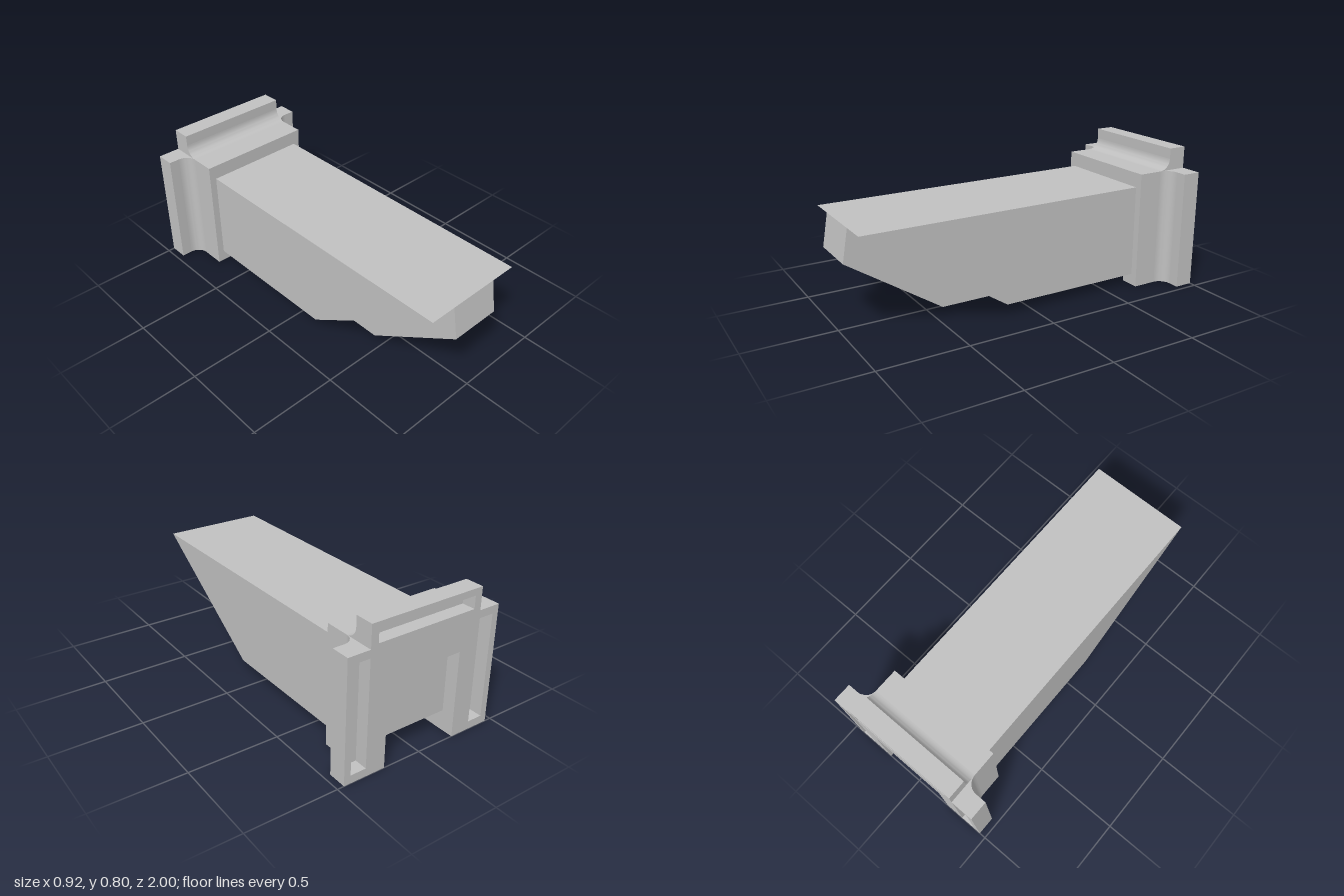
import * as THREE from 'three';
import { toCreasedNormals } from 'three/addons/utils/BufferGeometryUtils.js';

const BACK = -1, SLOT = -0.925, TAB = -0.895, FRONT = -0.69; // z stations of the flange
const W = 0.335, WING = 0.462, H = 0.675, TOP = 0.8;          // flange sizes
const NOTCH = 0.222, CEIL = 0.115;                            // opening and underside channel
const R = 0.065;                                              // tab fillet radius

const shapeOf = (pts) => new THREE.Shape(pts.map(([x, y]) => new THREE.Vector2(x, y)));

// Points on an arc between two angles in degrees
function arc(cx, cy, r, from, to, n = 12) {
  return Array.from({ length: n + 1 }, (_, i) => {
    const a = THREE.MathUtils.degToRad(from + ((to - from) * i) / n);
    return [cx + r * Math.cos(a), cy + r * Math.sin(a)];
  });
}

function extrude(shape, depth) {
  return new THREE.ExtrudeGeometry(shape, { depth, bevelEnabled: false });
}

// Front outline (x, y) extruded from z0 to z1
function alongZ(shape, z0, z1) {
  return extrude(shape, z1 - z0).translate(0, 0, z0);
}

// Side profile (z, y) extruded from x0 to x1
function alongX(pts, x0, x1) {
  return extrude(shapeOf(pts), x1 - x0).rotateY(-Math.PI / 2).translate(x1, 0, 0);
}

// Plan outline (x, z) extruded from the floor up to y1
function alongY(pts, y1) {
  return extrude(shapeOf(pts), y1).rotateX(Math.PI / 2).translate(0, y1, 0);
}

function rectHole(x0, y0, x1, y1) {
  return shapeOf([[x0, y0], [x0, y1], [x1, y1], [x1, y0]]);
}

// Plate outline with side wings, a top tab and an opening of the given height
function plateOutline(openingTop) {
  return shapeOf([
    [NOTCH, 0], [WING, 0], [WING, H], [W, H], [W, TOP], [-W, TOP], [-W, H],
    [-WING, H], [-WING, 0], [-NOTCH, 0], [-NOTCH, openingTop], [NOTCH, openingTop],
  ]);
}

export function createModel() {
  const grey = new THREE.MeshStandardMaterial({ color: 0xc0c0c0 });
  grey.name = 'grey';
  const model = new THREE.Group();
  model.name = 'slantedBoltWithFlange';

  const add = (name, geometry) => {
    const mesh = new THREE.Mesh(toCreasedNormals(geometry, 0.5), grey);
    mesh.name = name;
    model.add(mesh);
  };

  // Back layer of the flange with three slots and a tall opening
  const back = plateOutline(0.485);
  back.holes.push(rectHole(-0.293, 0.693, 0.293, 0.763));
  for (const s of [-1, 1]) {
    const a = s * 0.335, b = s * 0.425;
    back.holes.push(rectHole(Math.min(a, b), 0.045, Math.max(a, b), 0.632));
  }
  add('flangeBack', alongZ(back, BACK, SLOT));

  // Layer that closes the slots and the upper opening
  add('flangeWeb', alongZ(plateOutline(CEIL), SLOT, TAB));

  // Thick front block of the flange, straddling the channel
  add('flangeBlock', alongZ(shapeOf([
    [NOTCH, 0], [W, 0], [W, H], [-W, H], [-W, 0],
    [-NOTCH, 0], [-NOTCH, CEIL], [NOTCH, CEIL],
  ]), TAB, FRONT));

  // Concave fillets in front of the wings and the top tab
  for (const s of [-1, 1]) {
    const pts = [[W, TAB], ...arc(W + R, TAB + R, R, 180, 270)].map(([x, z]) => [s * x, z]);
    add(s > 0 ? 'leftWingFillet' : 'rightWingFillet', alongY(pts, H));
  }
  add('topTabFillet', alongX([[TAB, H], ...arc(TAB + R, H + R, R, 270, 180)], -W, W));

  // Long body: plain side strips and a middle with the rounded underside channel
  const bottom = 0.065, top = 0.592, half = 0.295;
  const slant = [[0.16, bottom], [0.968, top], [FRONT, top]];
  for (const s of [-1, 1]) {
    const xs = [s * NOTCH, s * half].sort((a, b) => a - b);
    add(s > 0 ? 'bodyLeft' : 'bodyRight', alongX([[FRONT, bottom], ...slant], xs[0], xs[1]));
  }
  const r = CEIL - bottom;
  add('bodyMiddle', alongX(
    [[FRONT, CEIL], ...arc(-0.4 - r, bottom, r, 90, 0), ...slant], -NOTCH, NOTCH));

  // Narrow tongue on the slanted end
  add('tongue', alongX(
    [[0.16, bottom], [0.47, bottom], [1, 0.412], [0.968, top]], -0.145, 0.145));

  return model;
}
